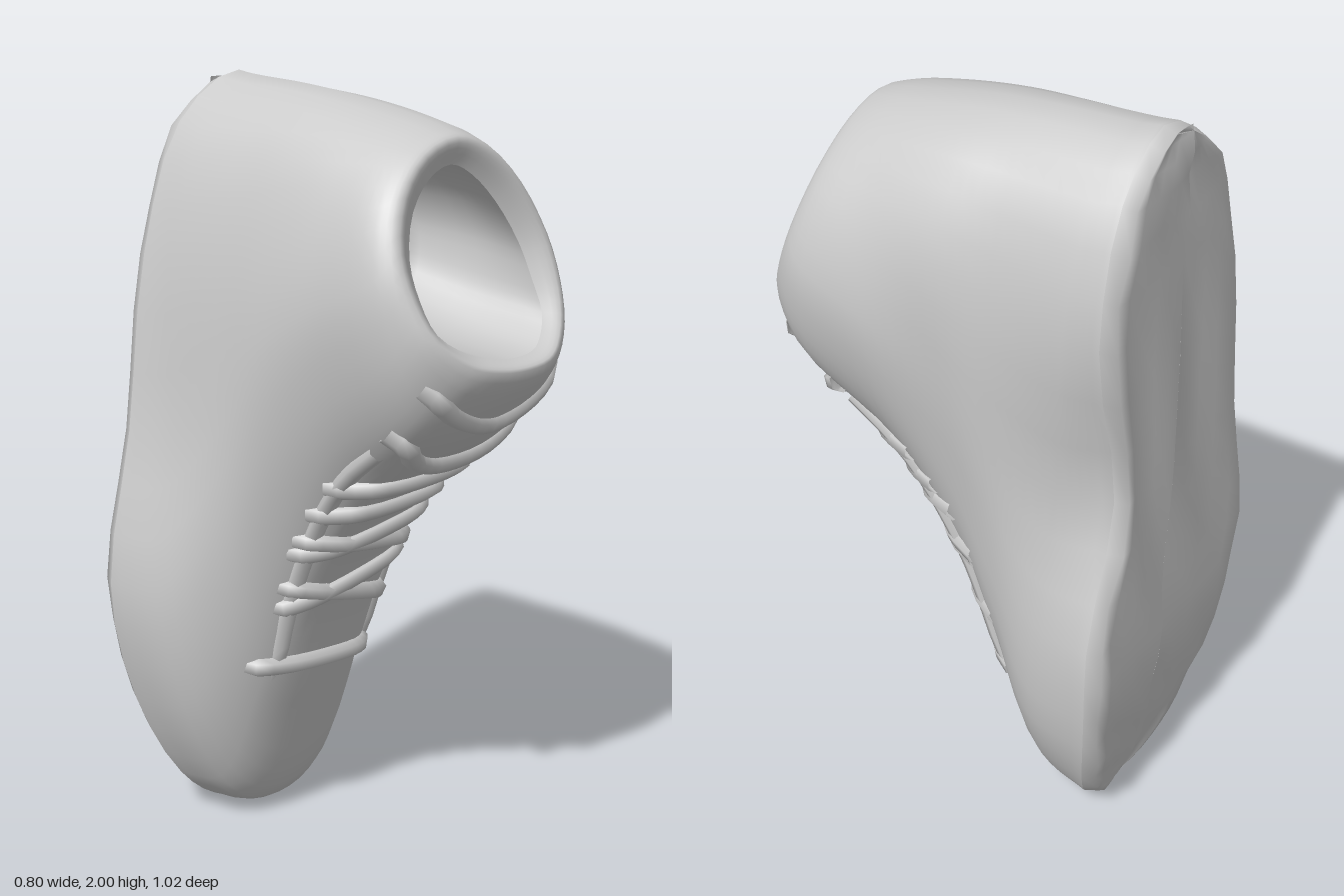
import * as THREE from 'three';

const material = new THREE.MeshStandardMaterial({ color: 0xcccccc, side: THREE.DoubleSide });
const SEG = 48;

// Where the side points of every outline sit between toe (0) and heel (1)
const F = [0.015, 0.06, 0.18, 0.35, 0.55, 0.78, 0.94];

// Outlines from the sole edge up to the collar and down inside:
// toe [x, y, z], heel [x, y, z], then x of the right-hand (-x) and left-hand (+x) sides
const outlines = {
  edge: [[0.01, 0, -0.38], [0.09, 2, -0.47], [-0.13, -0.23, -0.34, -0.4, -0.32, -0.25, -0.12], [0.14, 0.22, 0.31, 0.335, 0.23, 0.325, 0.25]],
  wall: [[0, 0.03, -0.25], [0.09, 1.992, -0.41], [-0.12, -0.21, -0.32, -0.37, -0.3, -0.25, -0.13], [0.12, 0.2, 0.3, 0.325, 0.28, 0.335, 0.26]],
  vamp: [[0.01, 0.34, -0.13], [0.08, 1.977, -0.2], [-0.1, -0.18, -0.26, -0.3, -0.285, -0.24, -0.13], [0.12, 0.19, 0.27, 0.31, 0.34, 0.345, 0.26]],
  instep: [[0.04, 0.67, -0.025], [0.07, 1.957, -0.03], [-0.08, -0.14, -0.21, -0.265, -0.28, -0.23, -0.13], [0.16, 0.21, 0.27, 0.32, 0.36, 0.36, 0.26]],
  ankle: [[0.05, 0.95, 0.145], [0.07, 1.927, 0.14], [-0.08, -0.13, -0.2, -0.25, -0.27, -0.22, -0.12], [0.17, 0.22, 0.3, 0.365, 0.395, 0.35, 0.24]],
  collar: [[0.07, 1.18, 0.4], [0.06, 1.897, 0.27], [-0.06, -0.15, -0.21, -0.245, -0.25, -0.2, -0.09], [0.18, 0.26, 0.34, 0.38, 0.385, 0.32, 0.2]],
  rim: [[0.1, 1.345, 0.51], [0.06, 1.875, 0.315], [0, -0.09, -0.17, -0.2, -0.2, -0.15, -0.06], [0.19, 0.24, 0.3, 0.335, 0.33, 0.26, 0.16], 0.035],
  mouth: [[0.1, 1.37, 0.47], [0.05, 1.815, 0.3], [0.03, -0.05, -0.13, -0.145, -0.14, -0.1, -0.03], [0.17, 0.21, 0.26, 0.27, 0.26, 0.2, 0.12], 0.035],
  inner: [[0.09, 1.4, 0.24], [0.06, 1.83, 0.16], [0.02, -0.06, -0.13, -0.15, -0.15, -0.11, -0.04], [0.15, 0.19, 0.24, 0.26, 0.26, 0.21, 0.13]],
  insole: [[0.07, 1.46, 0], [0.06, 1.82, -0.05], [0.02, -0.05, -0.11, -0.13, -0.13, -0.1, -0.04], [0.12, 0.16, 0.21, 0.23, 0.23, 0.19, 0.12]],
};

// Underside: flat, curling up at the toe
const soleZ = (y) => -0.5 + 0.1 * Math.max(0, 1 - y / 0.6) ** 2;

// Smooth closed ring through an outline: toe, left side, heel, right side; the sides may sag
function ring([toe, heel, right, left, sag = 0], onSole = false) {
  const a = new THREE.Vector3(...toe), b = new THREE.Vector3(...heel);
  const side = (xs) => F.map((f, i) => {
    const p = a.clone().lerp(b, f).setX(xs[i]);
    p.z -= sag * Math.sin(Math.PI * f);
    return p;
  });
  const pts = [a, ...side(left), b, ...side(right).reverse()];
  const curve = new THREE.CatmullRomCurve3(pts, true);
  return Array.from({ length: SEG }, (_, i) => {
    const p = curve.getPoint(i / SEG);
    if (onSole) p.z = soleZ(p.y) + 0.035;
    return p;
  });
}

// Add smooth in-between rings
function refine(rings, count) {
  const columns = rings[0].map((_, j) => new THREE.CatmullRomCurve3(rings.map((r) => r[j])));
  return Array.from({ length: count + 1 }, (_, i) => columns.map((c) => c.getPoint(i / count)));
}

// Skin a stack of closed rings
function loft(rings, name) {
  const index = [];
  for (let i = 0; i < rings.length - 1; i++) {
    for (let j = 0; j < SEG; j++) {
      const k = (j + 1) % SEG;
      const a = i * SEG + j, b = i * SEG + k, c = b + SEG, d = a + SEG;
      index.push(a, b, c, a, c, d);
    }
  }
  const geometry = new THREE.BufferGeometry().setFromPoints(rings.flat());
  geometry.setIndex(index);
  geometry.computeVertexNormals();
  const mesh = new THREE.Mesh(geometry, material);
  mesh.name = name;
  return mesh;
}

// A strand through [x, y] points, draped on a surface with its ends tucked in
function strand(surface, points, radius, lift, name) {
  const flat = new THREE.CatmullRomCurve3(points.map(([x, y]) => new THREE.Vector3(x, y, 0)));
  const ray = new THREE.Raycaster();
  const down = new THREE.Vector3(0, 0, -1);
  const path = flat.getPoints(10).map((p, i) => {
    ray.set(p.clone().setZ(2), down);
    const [hit] = ray.intersectObject(surface);
    return p.setZ(hit.point.z + (i % 10 === 0 ? -radius : lift));
  });
  const mesh = new THREE.Mesh(new THREE.TubeGeometry(new THREE.CatmullRomCurve3(path), 16, radius, 6), material);
  mesh.name = name;
  return mesh;
}

export function createModel() {
  const shoe = new THREE.Group();
  shoe.name = 'shoe';
  const get = (...names) => names.map((n) => ring(outlines[n], n === 'edge'));

  // Sole with a shallow diagonal tread and a rounded edge
  const [edge] = get('edge');
  const treads = [0, 0.2, 0.4, 0.6, 0.8, 0.95, 1].map((s) => edge.map((p) => {
    if (s === 1) return p;
    const x = 0.02 + (p.x - 0.02) * s, y = 1 + (p.y - 1) * 0.985;
    return new THREE.Vector3(x, y, soleZ(y) + 0.006 * Math.sin(38 * y + 25 * x));
  }));
  shoe.add(loft(treads, 'sole'));

  // Outer body with its padded collar and tongue tip
  const upper = loft(refine(get('edge', 'wall', 'vamp', 'instep', 'ankle', 'collar', 'rim', 'mouth'), 35), 'upper');
  shoe.add(upper);

  // Lining and insole
  const lining = refine(get('mouth', 'inner', 'insole'), 8);
  const floor = lining[lining.length - 1];
  lining.push(floor.map((p) => new THREE.Vector3(0.05, p.y, p.z)));
  shoe.add(loft(lining, 'lining'));

  // Laces crossing the vamp
  const laces = new THREE.Group();
  laces.name = 'laces';
  const rows = [
    [-0.2, 0.5, 0.24, 0.46], [-0.16, 0.73, 0.25, 0.62], [-0.16, 0.67, 0.25, 0.78],
    [-0.16, 0.87, 0.26, 0.8], [-0.16, 0.83, 0.27, 0.92], [-0.16, 0.95, 0.27, 0.98], [-0.16, 1.03, 0.28, 1.06],
  ];
  for (const [x0, y0, x1, y1] of rows) laces.add(strand(upper, [[x0, y0], [x1, y1]], 0.028, 0, 'lace'));
  laces.add(strand(upper, [[-0.18, 1.21], [-0.08, 1.12], [0.08, 1.1], [0.2, 1.13], [0.31, 1.21]], 0.028, 0, 'topLace'));
  shoe.add(laces);

  // Low eyelet edges on both sides of the laces
  shoe.add(strand(upper, [[-0.14, 0.46], [-0.14, 0.8], [-0.16, 1.15]], 0.026, -0.012, 'rightEyeletEdge'));
  shoe.add(strand(upper, [[0.22, 0.44], [0.23, 0.8], [0.26, 1.15]], 0.026, -0.012, 'leftEyeletEdge'));

  // Folded band dipping below the tongue
  shoe.add(strand(upper, [[-0.17, 1.33], [-0.09, 1.26], [0.07, 1.21], [0.22, 1.26], [0.31, 1.33]], 0.03, -0.012, 'collarBand'));
  return shoe;
}
